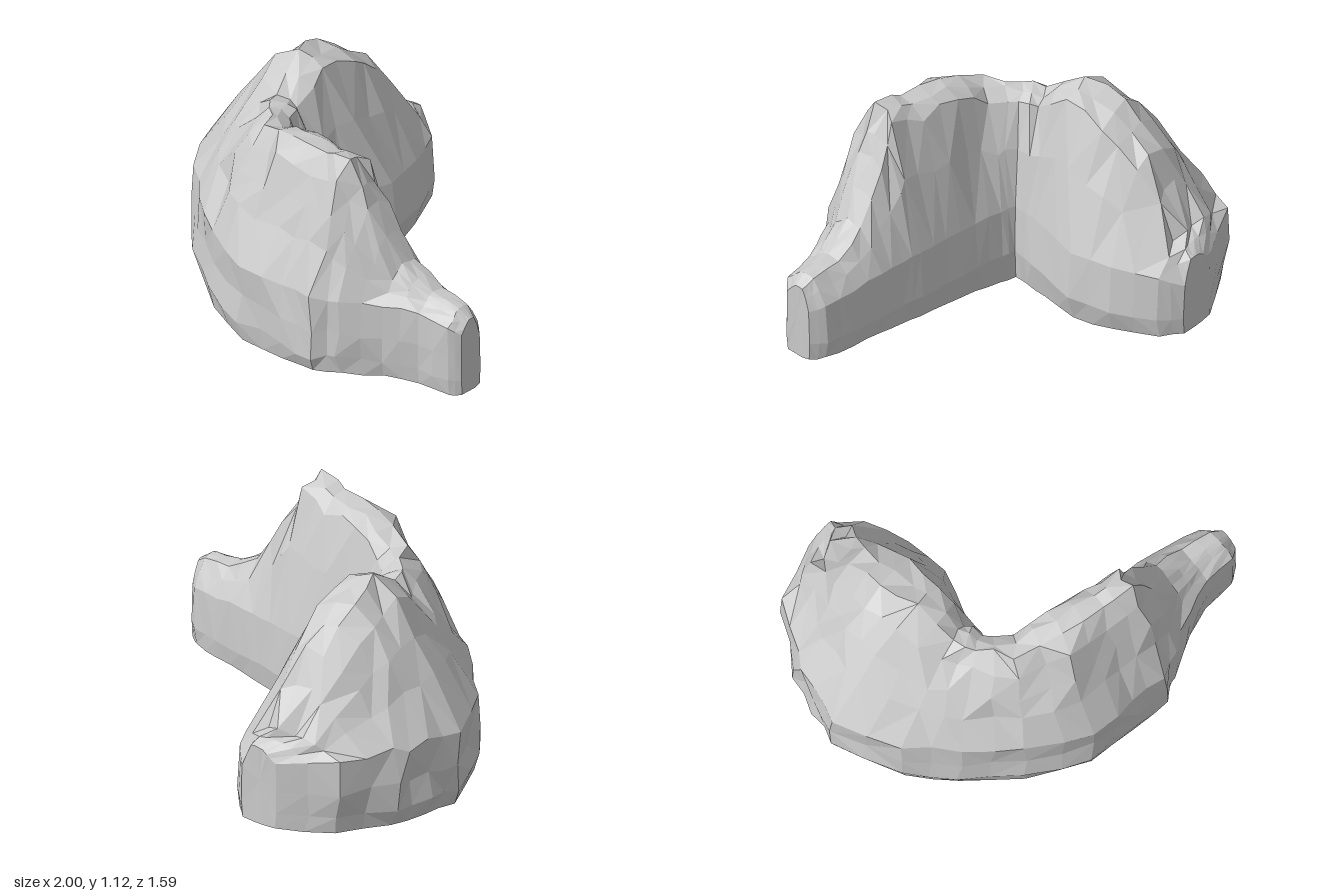
import * as THREE from 'three';

// Plan outline (x, z) of the bent ridge, from the back end round the corner to the +x tip
const OUTER = [
  [-0.53, -0.77], [-0.79, -0.62], [-0.93, -0.38], [-0.97, -0.2], [-1, -0.02], [-0.84, 0.3], [-0.65, 0.48], [-0.4, 0.67],
  [-0.1, 0.8], [0.15, 0.8], [0.33, 0.79], [0.45, 0.72], [0.62, 0.61], [0.78, 0.54], [0.95, 0.52], [1, 0.48],
];
const INNER = [
  [-0.33, -0.79], [-0.23, -0.71], [-0.13, -0.5], [-0.09, -0.28], [-0.15, -0.05], [-0.18, 0.08], [-0.19, 0.14], [-0.12, 0.16],
  [0.02, 0.18], [0.2, 0.2], [0.36, 0.21], [0.47, 0.23], [0.6, 0.24], [0.77, 0.26], [0.93, 0.29], [0.99, 0.34],
];
// Crest of the ridge: fraction of the way from outer to inner edge, height
const CREST = [
  [0.5, 0.49], [0.45, 0.55], [0.5, 0.89], [0.48, 1.06], [0.6, 1.11], [0.62, 0.98], [0.6, 0.98], [0.5, 0.99],
  [0.5, 1.09], [0.5, 1.08], [0.44, 1.13], [0.42, 0.91], [0.4, 0.64], [0.4, 0.54], [0.4, 0.52], [0.4, 0.48],
];

let seed;
const random = () => (seed = (seed * 16807) % 2147483647) / 2147483647;
// The underside is lowest at the inner corner and rises towards the rim
const underside = (x, z) => 0.01 + 0.08 * Math.min(1, Math.hypot(x + 0.15, z - 0.1) / 0.9);

// Point of a polyline at a fractional station
function sample(line, t) {
  const k = Math.min(Math.floor(t), line.length - 2);
  return line[k].map((v, i) => THREE.MathUtils.lerp(v, line[k + 1][i], t - k));
}

// Closed cross-section, running up the outer face, over the crest and down the inner face
function section(t) {
  const [ox, oz] = sample(OUTER, t);
  const [ix, iz] = sample(INNER, t);
  const [crest, top] = sample(CREST, t);
  const at = (f, y) => {
    const x = ox + (ix - ox) * f, z = oz + (iz - oz) * f;
    return new THREE.Vector3(x, y ?? underside(x, z), z);
  };
  const wall = Math.min(0.48, top * 0.88);
  const rise = (f) => wall + (top - wall) * f;
  const inner = crest + (1 - crest) * 0.43, innerTop = rise(0.92), innerWall = Math.min(0.42, top * 0.75);
  return [
    at(0.04), at(0, 0.17), at(0, wall * 0.65), at(0.01, wall),
    at(crest * 0.33, rise(0.37)), at(crest * 0.53, rise(0.61)), at(crest * 0.76, rise(0.86)),
    at(crest, top), at((crest + inner) / 2, rise(0.99)), at(inner, innerTop),
    at(inner + (1 - inner) * 0.45, innerWall + (innerTop - innerWall) * 0.56),
    at(0.97, innerWall), at(1, 0.18), at(0.96), at(0.65), at(0.35),
  ];
}

// Loft of the sections with rough, chipped facets
function rockGeometry() {
  seed = 7;
  const last = (OUTER.length - 1) * 2;
  const rings = Array.from({ length: last + 1 }, (_, r) => section(r / 2));
  const n = rings[0].length;
  const points = [], index = [];
  rings.forEach((ring, r) => {
    const width = ring[0].distanceTo(ring[13]);
    ring.forEach((p, i) => {
      // Narrow sections and the crowded inner foot stay smoother
      const rough = i > 10 || i === 0 ? 0.008 : 0.036 * Math.min(1, width * width * 4);
      points.push(
        THREE.MathUtils.clamp(p.x + (random() - 0.5) * rough, -1, 1),
        p.y + (random() - 0.5) * rough,
        THREE.MathUtils.clamp(p.z + (random() - 0.5) * rough, -0.8, 0.8));
    });
  });
  for (let r = 0; r < last; r++) {
    for (let i = 0; i < n; i++) {
      const j = (i + 1) % n;
      const a = r * n + i, b = a + n, c = r * n + j, d = c + n;
      if (random() < 0.5) index.push(a, b, d, a, d, c);
      else index.push(a, b, c, b, d, c);
    }
  }
  // End faces
  for (const r of [0, last]) {
    const centre = rings[r].reduce((sum, p) => sum.add(p), new THREE.Vector3()).divideScalar(n);
    const hub = points.length / 3;
    points.push(centre.x, centre.y, centre.z);
    for (let i = 0; i < n; i++) {
      const a = r * n + i, b = r * n + (i + 1) % n;
      if (r === 0) index.push(hub, a, b);
      else index.push(hub, b, a);
    }
  }
  const geometry = new THREE.BufferGeometry();
  geometry.setAttribute('position', new THREE.Float32BufferAttribute(points, 3));
  geometry.setIndex(index);
  geometry.computeVertexNormals();
  geometry.computeBoundingBox();
  geometry.translate(0, -geometry.boundingBox.min.y, 0);
  return geometry;
}

export function createModel() {
  const group = new THREE.Group();
  group.name = 'rockFormation';
  const material = new THREE.MeshStandardMaterial({ color: 0xcccccc, flatShading: true });
  const rock = new THREE.Mesh(rockGeometry(), material);
  rock.name = 'curvedRockRidge';
  group.add(rock);
  return group;
}
